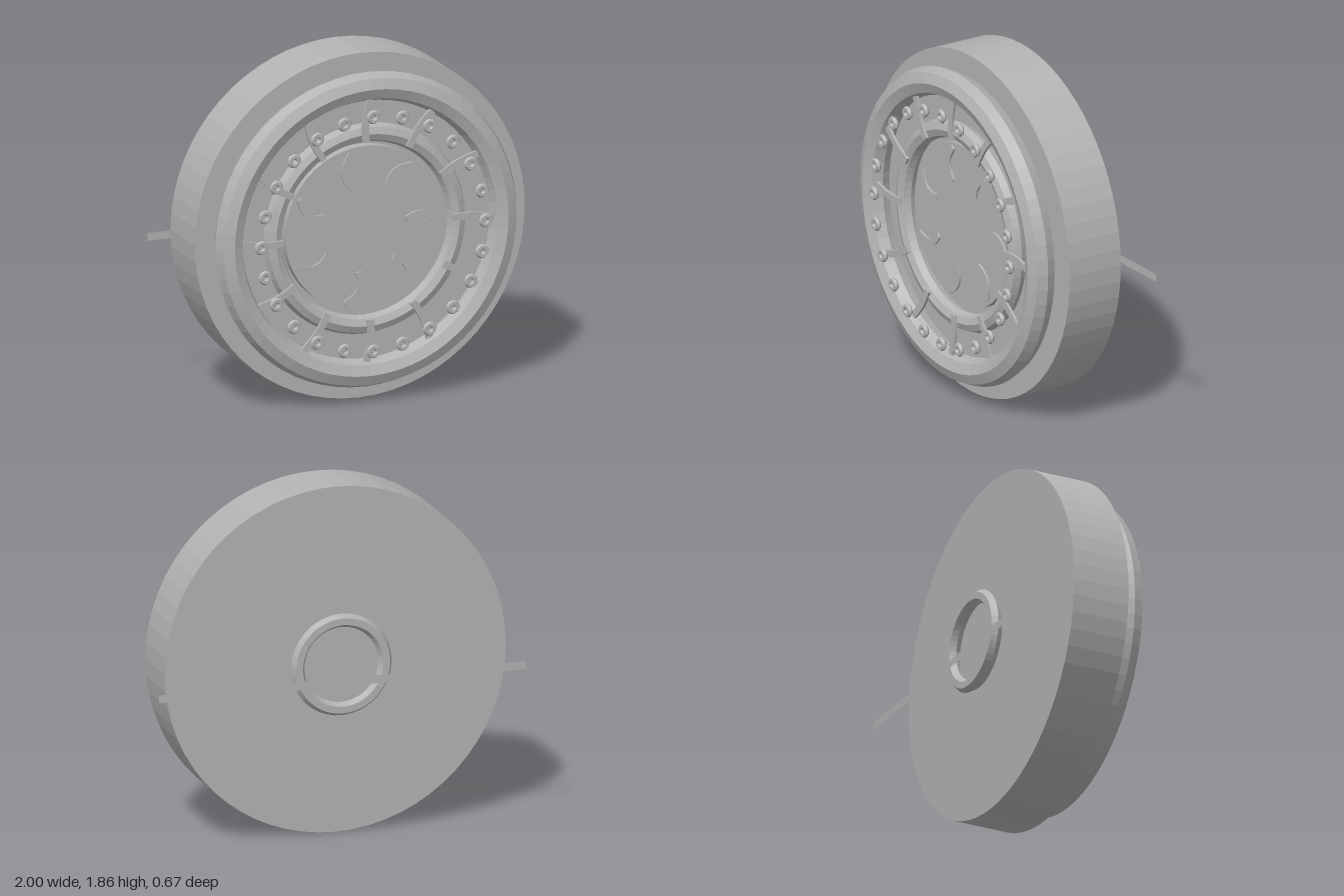
import * as THREE from 'three';

export function createModel() {
  const group = new THREE.Group();
  group.name = 'roundShield';
  const grey = new THREE.MeshStandardMaterial({ color: 0xb3b3b3, flatShading: true, side: THREE.DoubleSide });
  grey.name = 'plain grey';

  // Everything but the strap is centred on the shield axis
  const shield = new THREE.Group();
  shield.name = 'shield';
  shield.position.set(-0.012, 0.93, 0);
  group.add(shield);

  const add = (name, geometry, parent, x = 0, y = 0, z = 0) => {
    const mesh = new THREE.Mesh(geometry, grey);
    mesh.name = name;
    mesh.position.set(x, y, z);
    parent.add(mesh);
    return mesh;
  };

  // Flat disc lying across the z axis
  const disc = (radius, z0, z1) =>
    new THREE.CylinderGeometry(radius, radius, z1 - z0, 64).rotateX(Math.PI / 2).translate(0, 0, (z0 + z1) / 2);

  // Flat curved strip following a smooth path in the plane
  const ribbon = (points, width, depth) => {
    const path = new THREE.CatmullRomCurve3(points.map(([x, y]) => new THREE.Vector3(x, y, 0)));
    const left = [], right = [];
    for (let i = 0; i <= 8; i++) {
      const p = path.getPoint(i / 8), t = path.getTangent(i / 8);
      left.push(new THREE.Vector2(p.x - t.y * width / 2, p.y + t.x * width / 2));
      right.unshift(new THREE.Vector2(p.x + t.y * width / 2, p.y - t.x * width / 2));
    }
    return new THREE.ExtrudeGeometry(new THREE.Shape([...left, ...right]), { depth, bevelEnabled: false });
  };

  // Body and raised centre
  add('body', disc(0.928, -0.173, 0.143), shield);
  add('centrePlate', disc(0.44, 0.14, 0.195), shield);

  // Raised rims
  add('outerRim', new THREE.TorusGeometry(0.77, 0.077, 8, 64), shield, 0, 0, 0.223);
  add('innerRim', new THREE.TorusGeometry(0.516, 0.051, 8, 64), shield, 0, 0, 0.2);

  // Ring of studs
  const stud = new THREE.TorusGeometry(0.0235, 0.0145, 6, 16);
  for (let i = 0; i < 24; i++) {
    const a = i * Math.PI / 12;
    add('stud', stud, shield, 0.631 * Math.cos(a), 0.631 * Math.sin(a), 0.322);
  }

  // Curved spokes between the rims
  const spoke = ribbon([[0.48, 0.012], [0.55, 0.016], [0.62, 0.01], [0.705, -0.01]], 0.036, 0.015);
  for (let i = 0; i < 12; i++) {
    add('spoke', spoke, shield, 0, 0, 0.245).rotation.z = i * Math.PI / 6;
  }

  // Hooked ornaments on the centre plate
  const hook = ribbon([[0.235, 0.02], [0.29, 0.044], [0.35, 0.038], [0.415, -0.02]], 0.03, 0.012);
  for (let i = 0; i < 7; i++) {
    add('hookOrnament', hook, shield, 0, 0, 0.195).rotation.z = i * Math.PI * 2 / 7;
  }

  // Grip ring and strap at the back
  add('gripRing', new THREE.TorusGeometry(0.237, 0.036, 6, 48), shield, 0, 0, -0.274);
  add('strap', new THREE.PlaneGeometry(2, 0.042), group, 0, 0.852, -0.335);

  return group;
}
